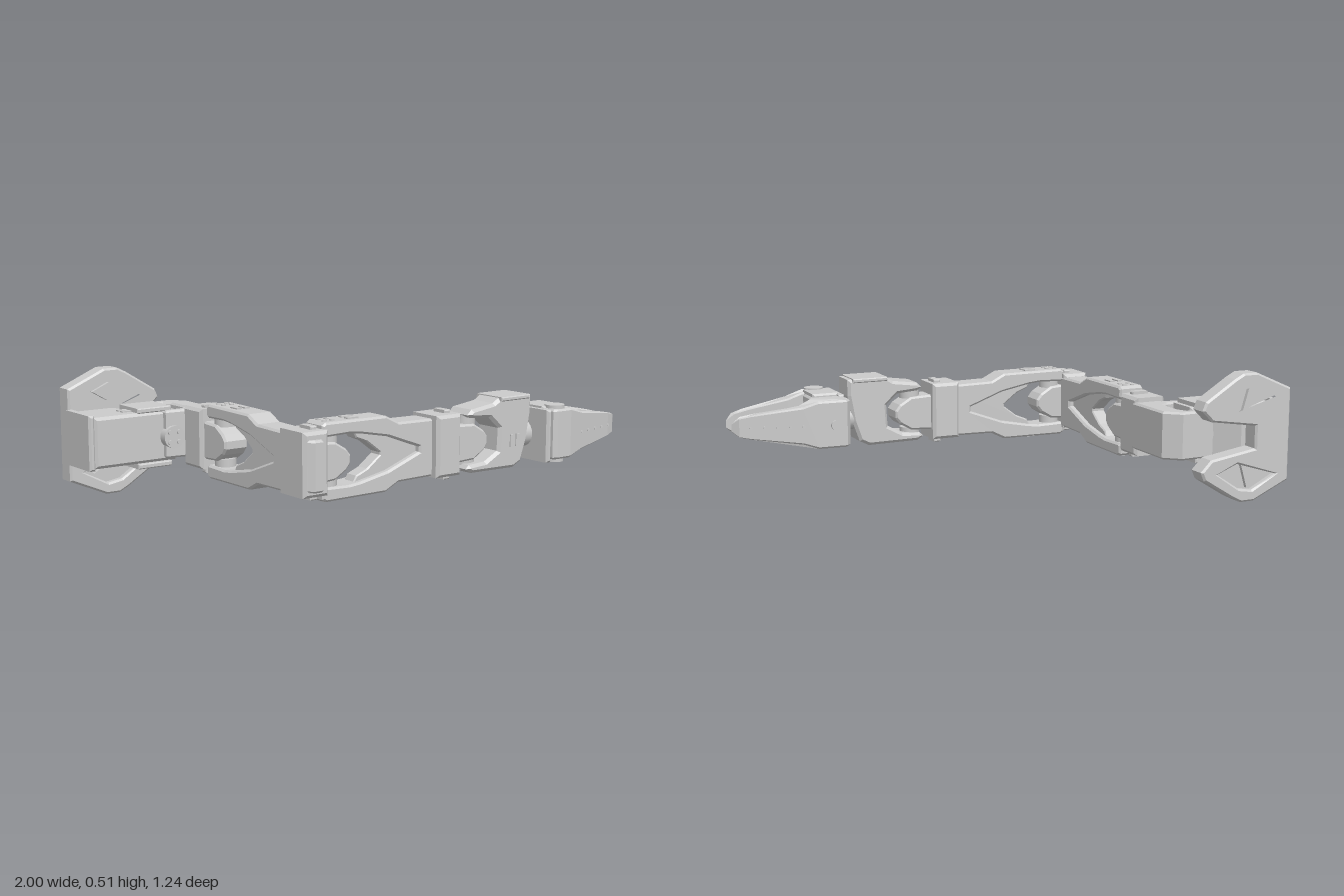
import * as THREE from 'three';

const MID = 0.265; // height of the arm's centre line
const flat = new THREE.MeshStandardMaterial({ color: 0xcccccc, flatShading: true });
const smooth = new THREE.MeshStandardMaterial({ color: 0xcccccc });

// Completes an outline by reflecting it about the centre line
const mirrored = (pts) => [...pts, ...pts.slice().reverse().map(([a, b]) => [a, 2 * MID - b])];

// Extrudes an outline along an axis from a to b with small bevels
// axis z: points are (x, y); axis y: points are (x, z); axis x: points are (z, y)
function prism(parent, name, pts, axis, a, b, bevel = 0.008, holes = []) {
  const toV = (p) => new THREE.Vector2(p[0], p[1]);
  const shape = new THREE.Shape(pts.map(toV));
  holes.forEach((h) => shape.holes.push(new THREE.Path(h.map(toV))));
  const geo = new THREE.ExtrudeGeometry(shape, {
    depth: b - a - 2 * bevel, bevelEnabled: bevel > 0, bevelSize: bevel,
    bevelThickness: bevel, bevelOffset: -bevel, bevelSegments: 1,
  });
  geo.translate(0, 0, bevel);
  if (axis === 'z') geo.translate(0, 0, a);
  if (axis === 'y') geo.rotateX(Math.PI / 2).translate(0, b, 0);
  if (axis === 'x') geo.rotateY(-Math.PI / 2).translate(b, 0, 0);
  const mesh = new THREE.Mesh(geo, flat);
  mesh.name = name;
  parent.add(mesh);
  return mesh;
}

function block(parent, name, x0, x1, y0, y1, z0, z1, bevel = 0.008) {
  return prism(parent, name, [[x0, y0], [x1, y0], [x1, y1], [x0, y1]], 'z', z0, z1, bevel);
}

function disc(parent, name, r, h, x, y, z, axis = 'y') {
  const mesh = new THREE.Mesh(new THREE.CylinderGeometry(r, r, h, 20), smooth);
  mesh.position.set(x, y, z);
  if (axis === 'z') mesh.rotation.x = Math.PI / 2;
  if (axis === 'x') mesh.rotation.z = Math.PI / 2;
  mesh.name = name;
  parent.add(mesh);
}

// Motor with its holder; the joint axis is the local origin, the link runs along +x
function motorUnit(parent, s0, s1, halfWidth) {
  block(parent, 'motorHolder', s0, s1, 0.15, 0.388, -halfWidth, halfWidth, 0.012);
  prism(parent, 'motorBody', mirrored([[s1 - 0.02, 0.34], [0.01, 0.335], [0.06, 0.305], [0.08, 0.28]]),
    'z', -0.052, 0.052);
  for (const side of [-1, 1]) {
    disc(parent, 'motorHorn', 0.042, 0.045, 0, MID + side * 0.085, 0);
    block(parent, 'holderTab', s1 - 0.05, s1 - 0.02, MID + side * 0.115 - 0.02, MID + side * 0.115 + 0.02,
      -0.035, 0.035, 0.004);
  }
}

// Forked link: two arms round the motor, joined by a thinner recessed web
function forkLink(parent) {
  const end = 0.48;
  prism(parent, 'linkFork', mirrored([
    [end, 0.375], [0.3, 0.378], [0.24, 0.408], [-0.035, 0.41], [-0.05, 0.4], [-0.05, 0.365],
    [-0.04, 0.357], [0.07, 0.36], [0.12, 0.355], [0.25, 0.33], [0.4, 0.275],
  ]), 'z', -0.055, 0.055);
  prism(parent, 'linkWeb', mirrored([
    [end, 0.36], [0.3, 0.36], [0.1, 0.37], [0.12, 0.335], [0.17, 0.315], [0.23, 0.27],
  ]), 'z', -0.03, 0.03, 0.005);
  for (const side of [-1, 1]) {
    const y = MID + side * 0.146;
    // Bolt ring over the joint
    for (let i = 0; i < 4; i++) {
      const t = Math.PI / 4 + i * Math.PI / 2;
      disc(parent, 'hornBolt', 0.009, 0.006, Math.cos(t) * 0.026, y, Math.sin(t) * 0.026);
    }
    // Pair of raised slots along the arm
    for (const z of [-0.018, 0.018]) {
      block(parent, 'armSlot', 0.08, 0.13, y - 0.003, y + 0.003, z - 0.011, z + 0.011, 0);
    }
  }
}

// Tapers a jaw in height toward its tip
function taperJaw(mesh) {
  const stops = [[0.68, 1], [0.73, 0.78], [0.93, 0.5], [0.975, 0.4], [1, 0.15]];
  const p = mesh.geometry.attributes.position;
  for (let i = 0; i < p.count; i++) {
    const x = p.getX(i);
    let k = x <= stops[0][0] ? 1 : stops[4][1];
    for (let j = 0; j < 4; j++) {
      const [x0, k0] = stops[j], [x1, k1] = stops[j + 1];
      if (x > x0 && x <= x1) k = k0 + (k1 - k0) * (x - x0) / (x1 - x0);
    }
    p.setY(i, MID + (p.getY(i) - MID) * k);
  }
  mesh.geometry.computeVertexNormals();
}

export function createModel() {
  const model = new THREE.Group();
  const section = (name, x = 0, z = 0, turn = 0) => {
    const g = new THREE.Group();
    g.name = name;
    g.position.set(x, 0, z);
    g.rotation.y = turn;
    model.add(g);
    return g;
  };

  // Base: two-lobed mounting plate with recessed pockets
  const base = section('base');
  const pocket = [[-0.9, 0.42], [-0.79, 0.475], [-0.73, 0.465], [-0.63, 0.4], [-0.72, 0.365]];
  const flip = (pts) => pts.map(([a, b]) => [a, 2 * MID - b]);
  const lobes = mirrored([
    [-0.96, 0.45], [-0.8, 0.52], [-0.74, 0.52], [-0.7, 0.5], [-0.57, 0.42], [-0.555, 0.385],
    [-0.6, 0.34], [-0.8, 0.31],
  ]);
  prism(base, 'mountingPlate', lobes, 'z', -0.62, -0.54, 0.008, [pocket, flip(pocket)]);
  for (const pts of [pocket, flip(pocket)]) prism(base, 'pocketFloor', pts, 'z', -0.595, -0.57, 0);
  for (const side of [-1, 1]) {
    prism(base, 'pocketRib', [[-0.85, MID + side * 0.165], [-0.77, MID + side * 0.2], [-0.74, MID + side * 0.1]],
      'z', -0.61, -0.55, 0);
    block(base, 'motorFlange', -0.78, -0.63, MID + side * 0.11 - 0.01, MID + side * 0.11 + 0.01, -0.46, -0.31, 0.004);
  }
  prism(base, 'motorMount', [[-0.94, -0.55], [-0.78, -0.55], [-0.68, -0.44], [-0.95, -0.44]], 'y', 0.17, 0.36);
  block(base, 'baseMotor', -0.97, -0.61, 0.168, 0.368, -0.45, -0.305, 0.012);
  block(base, 'endPlate', -1, -0.975, 0.165, 0.38, -0.49, -0.29);
  for (const z of [-0.4, -0.37]) block(base, 'motorSlot', -0.82, -0.77, 0.365, 0.373, z - 0.01, z + 0.01, 0);

  // Shoulder: clevis gripping the base motor
  const shoulder = section('shoulder');
  prism(shoulder, 'shoulderClevis', [
    [-0.66, -0.53], [-0.52, -0.535], [-0.46, -0.48], [-0.46, -0.25], [-0.57, -0.25], [-0.58, -0.275],
    [-0.67, -0.285], [-0.67, -0.31], [-0.58, -0.32], [-0.545, -0.35], [-0.545, -0.46], [-0.56, -0.495],
    [-0.66, -0.495],
  ], 'y', 0.18, 0.37);
  for (const z of [-0.473, -0.295]) disc(shoulder, 'shoulderHorn', 0.045, 0.05, -0.64, MID, z, 'z');
  for (let i = 0; i < 4; i++) {
    const t = Math.PI / 4 + i * Math.PI / 2;
    disc(shoulder, 'shoulderBolt', 0.01, 0.012, -0.64 + 0.028 * Math.cos(t), MID + 0.028 * Math.sin(t), -0.27, 'z');
  }

  // Upper arm runs forward, forearm runs sideways
  const upperArm = section('upperArm', -0.532, -0.07, -Math.PI / 2);
  motorUnit(upperArm, -0.2, -0.07, 0.068);
  forkLink(upperArm);

  const forearm = section('forearm', -0.44, 0.455);
  motorUnit(forearm, -0.15, -0.04, 0.08);
  forkLink(forearm);
  prism(forearm, 'elbowCorner', [[-0.148, 0.07], [-0.06, 0.07], [-0.08, 0.1], [-0.115, 0.1]], 'y', 0.17, 0.36);

  // Wrist: motor with a clevis and a roll shaft
  const wristMotor = section('wristMotor', 0.22, 0.465);
  motorUnit(wristMotor, -0.2, -0.08, 0.08);
  const wrist = section('wrist');
  prism(wrist, 'wristClevis', [
    [0.18, 0.375], [0.2, 0.395], [0.31, 0.41], [0.34, 0.428], [0.51, 0.428], [0.51, 0.36], [0.49, 0.25],
    [0.46, 0.165], [0.42, 0.145], [0.2, 0.148], [0.175, 0.165], [0.19, 0.18], [0.27, 0.185], [0.335, 0.22],
    [0.34, 0.31], [0.29, 0.355], [0.2, 0.362],
  ], 'z', 0.41, 0.54, 0.012);
  for (const x of [0.405, 0.435]) block(wrist, 'wristSlot', x - 0.011, x + 0.011, 0.23, 0.28, 0.535, 0.545, 0);
  block(wrist, 'wristCap', 0.34, 0.49, 0.415, 0.432, 0.4, 0.55, 0.004);
  disc(wrist, 'rollShaft', 0.055, 0.08, 0.51, MID, 0.47, 'x');

  // Gripper: fixed jaw, motor and moving jaw
  const gripper = section('gripper');
  const fixed = prism(gripper, 'fixedJaw', [
    [0.53, 0.335], [0.55, 0.31], [0.67, 0.315], [0.73, 0.33], [0.93, 0.39], [0.975, 0.405], [1, 0.43],
    [0.965, 0.443], [0.9, 0.43], [0.74, 0.385], [0.69, 0.4], [0.67, 0.43], [0.67, 0.52], [0.53, 0.52],
  ], 'y', 0.17, 0.365);
  taperJaw(fixed);
  block(gripper, 'gripperMotor', 0.55, 0.66, 0.18, 0.378, 0.42, 0.56);
  const moving = prism(gripper, 'movingJaw', [
    [0.555, 0.54], [0.56, 0.61], [0.58, 0.62], [0.65, 0.62], [0.73, 0.602], [0.93, 0.557], [0.975, 0.54],
    [1, 0.518], [0.965, 0.51], [0.9, 0.518], [0.73, 0.535], [0.67, 0.53],
  ], 'y', 0.17, 0.37);
  taperJaw(moving);
  block(gripper, 'gripperBracket', 0.53, 0.555, 0.16, 0.37, 0.4, 0.61);
  for (const y of [0.165, 0.373]) disc(gripper, 'jawPivot', 0.04, 0.02, 0.61, y, 0.565);
  disc(gripper, 'jawBoss', 0.02, 0.012, 0.6, MID, 0.31, 'z');
  // Row of grip studs along each jaw
  for (let i = 0; i < 5; i++) {
    const x = 0.73 + i * 0.05;
    disc(gripper, 'gripStud', 0.006, 0.006, x, MID, 0.602 - (x - 0.73) * 0.225, 'z');
    disc(gripper, 'gripStud', 0.006, 0.006, x, MID, 0.33 + (x - 0.73) * 0.3, 'z');
  }
  return model;
}
